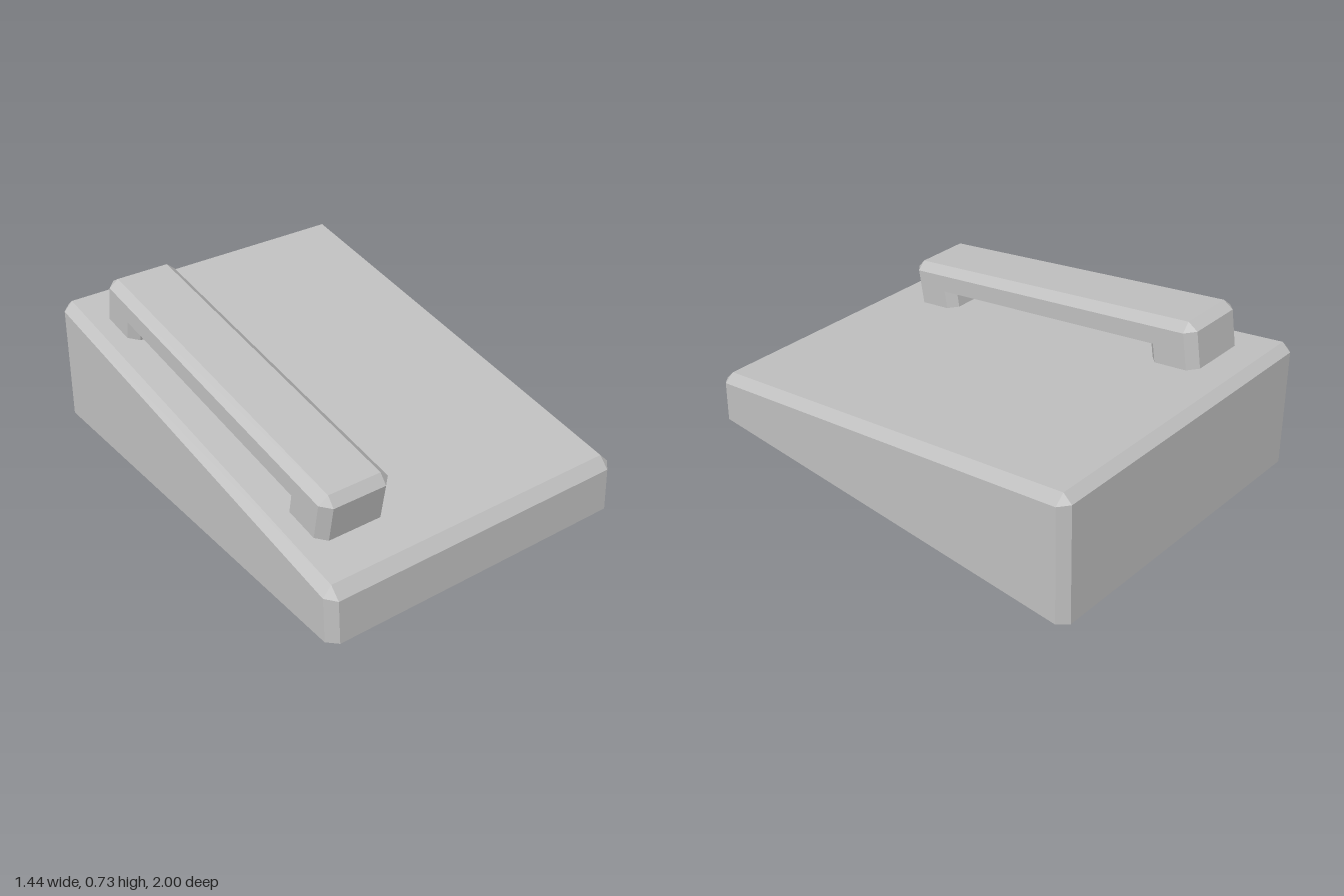
import * as THREE from 'three';

const grey = new THREE.MeshStandardMaterial({ color: 0xbfbfbf });
grey.name = 'grey';

// Rectangle with cut corners, counter-clockwise from above; height(z) gives y
function ring(x0, x1, z0, z1, cut, height) {
  return [
    [x0 + cut, z1], [x1 - cut, z1], [x1, z1 - cut], [x1, z0 + cut],
    [x1 - cut, z0], [x0 + cut, z0], [x0, z0 + cut], [x0, z1 - cut],
  ].map(([x, z]) => new THREE.Vector3(x, height(z), z));
}

// Closed, faceted solid skinned through a stack of rings from bottom to top
function loft(rings, name) {
  const points = [];
  const tri = (a, b, c) => {
    const area = b.clone().sub(a).cross(c.clone().sub(a)).length();
    if (area > 1e-7) points.push(a, b, c);
  };
  const n = rings[0].length;
  for (let r = 0; r < rings.length - 1; r++) {
    const low = rings[r], high = rings[r + 1];
    for (let i = 0; i < n; i++) {
      const j = (i + 1) % n;
      tri(low[i], low[j], high[j]);
      tri(low[i], high[j], high[i]);
    }
  }
  const bottom = rings[0], top = rings[rings.length - 1];
  for (let i = 1; i < n - 1; i++) {
    tri(bottom[0], bottom[i + 1], bottom[i]);
    tri(top[0], top[i], top[i + 1]);
  }
  const geometry = new THREE.BufferGeometry().setFromPoints(points);
  geometry.computeVertexNormals();
  const mesh = new THREE.Mesh(geometry, grey);
  mesh.name = name;
  return mesh;
}

export function createModel() {
  const model = new THREE.Group();
  model.name = 'wedgeWithHandle';
  const bevel = 0.04;

  // Wedge body with cut corners and a bevelled sloping top
  model.add(loft([
    ring(-0.72, 0.72, -1, 1, bevel, () => 0),
    ring(-0.72, 0.72, -0.985, 0.99, bevel, z => 0.362 - 0.176 * z),
    ring(-0.68, 0.68, -0.945, 0.945, 0, z => 0.402 - 0.177 * z),
  ], 'body'));

  // Handle, built level and then tilted to follow the slope
  const handle = new THREE.Group();
  handle.name = 'handle';
  handle.rotation.x = THREE.MathUtils.degToRad(10);
  const x0 = -0.6, x1 = -0.28, back = -0.88, front = 0.713;
  const gripBottom = 0.479;

  handle.add(loft([
    ring(x0, x1, back, front, bevel, () => gripBottom),
    ring(x0, x1, back, front, bevel, () => 0.557),
    ring(x0 + bevel, x1 - bevel, back + bevel, front - bevel, 0, () => 0.592),
  ], 'grip'));

  // Legs at both ends of the grip
  for (const [z0, z1, name] of [[back, -0.645, 'backLeg'], [0.478, front, 'frontLeg']]) {
    handle.add(loft([
      ring(x0, x1, z0, z1, bevel, () => 0.385),
      ring(x0, x1, z0, z1, bevel, () => gripBottom),
    ], name));
  }
  model.add(handle);
  return model;
}
